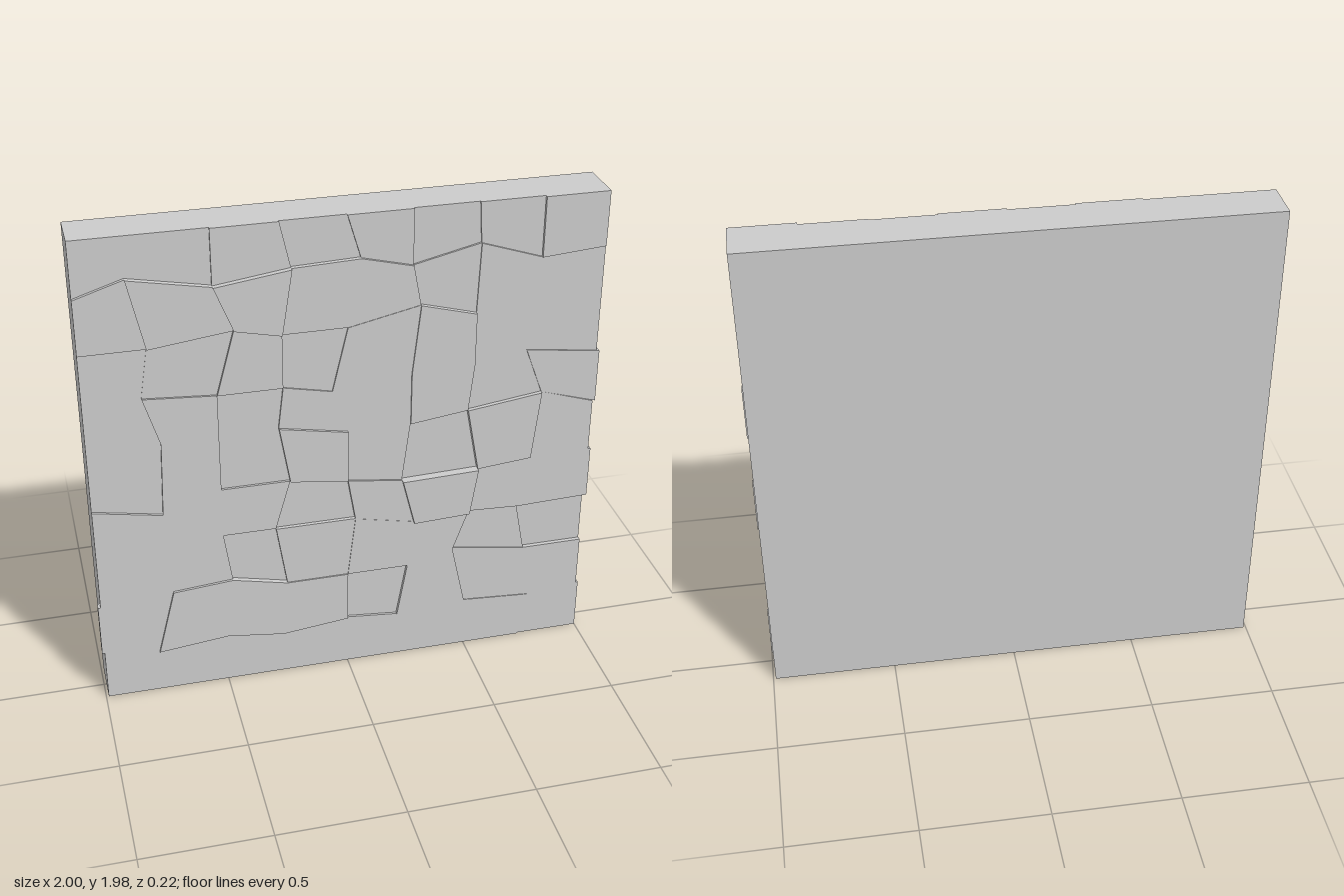
import * as THREE from 'three';

const COLS = 8, ROWS = 9, SIZE = 1.98, BACK = 0.05;

// Corners pushed off the regular grid, per joint line: [column, dx, dy] in hundredths
const shifts = [
  [],
  [[1, -3, -3], [3, -2, -3], [5, -4, -2], [7, 3, -2]],
  [[1, 4, 3], [2, 3, 5], [6, -6, 5]],
  [[1, -1, 2], [2, 0, 4], [3, -4, 4], [4, 3, 4], [5, 2, -1], [7, -4, -1]],
  [[1, 2, -5], [2, 0, 3], [3, 2, 3], [5, -3, -3], [6, 3, -2]],
  [[1, 3, 4], [3, -2, 5], [6, -2, 3], [7, 3, 7]],
  [[1, -3, 2], [4, -6, -4], [7, -4, 4]],
  [[2, 7, 4], [5, 3, 6]],
  [[1, -6, 6], [3, 4, 4], [4, 5, 5], [6, 1, 6], [7, 0, -2]],
  [],
];

// Front of each stone in hundredths, by course from the bottom
const depths = [
  [8, 8, 8, 8, 8, 8, 8, 7.5],
  [8, 9, 9, 9, 7, 8.5, 7.7, 7.7],
  [8, 8, 7, 8.5, 8.8, 8.8, 7.5, 6],
  [8, 8, 8, 7, 8.7, 10.5, 8, 8],
  [7, 8, 7, 9, 8, 7, 9.2, 8],
  [7, 8, 7.2, 8, 8, 8.7, 7.5, 8],
  [7, 7.2, 8.3, 7.5, 8.2, 8.8, 7.5, 7.5],
  [7.5, 8.3, 9.2, 8, 8, 7, 7.5, 7.5],
  [6.2, 6.2, 7, 6.2, 7, 6.2, 6.8, 8],
];

// Courses whose end stone stands slightly proud of the slab
const proudLeft = [0, 3, 5];
const proudRight = [1];

// Grid corner with its shift applied; end corners of proud courses move out
function corner(line, col, course) {
  const [, dx, dy] = shifts[line].find(([c]) => c === col) ?? [col, 0, 0];
  let x = (col / COLS - 0.5) * SIZE + dx / 100;
  if (col === 0 && proudRight.includes(course)) x = -1;
  if (col === COLS && proudLeft.includes(course)) x = 1;
  return new THREE.Vector2(x, (line / ROWS) * SIZE + dy / 100);
}

export function createModel() {
  const group = new THREE.Group();
  group.name = 'stoneWallPanel';
  const material = new THREE.MeshStandardMaterial({ color: 0xcccccc, flatShading: true });

  // Backing slab
  const slab = new THREE.Mesh(new THREE.BoxGeometry(SIZE, SIZE, 0.16), material);
  slab.position.set(0, SIZE / 2, BACK - 0.08);
  slab.name = 'backingSlab';
  group.add(slab);

  // Irregular stones, each a four-cornered prism on the slab
  const stones = new THREE.Group();
  stones.name = 'stones';
  depths.forEach((course, r) => course.forEach((depth, c) => {
    const outline = new THREE.Shape([
      corner(r, c, r), corner(r, c + 1, r), corner(r + 1, c + 1, r), corner(r + 1, c, r),
    ]);
    const geometry = new THREE.ExtrudeGeometry(outline, { depth: depth / 100 - BACK, bevelEnabled: false });
    const stone = new THREE.Mesh(geometry, material);
    stone.position.z = BACK;
    stone.name = `stone${r + 1}_${c + 1}`;
    stones.add(stone);
  }));
  group.add(stones);
  return group;
}
